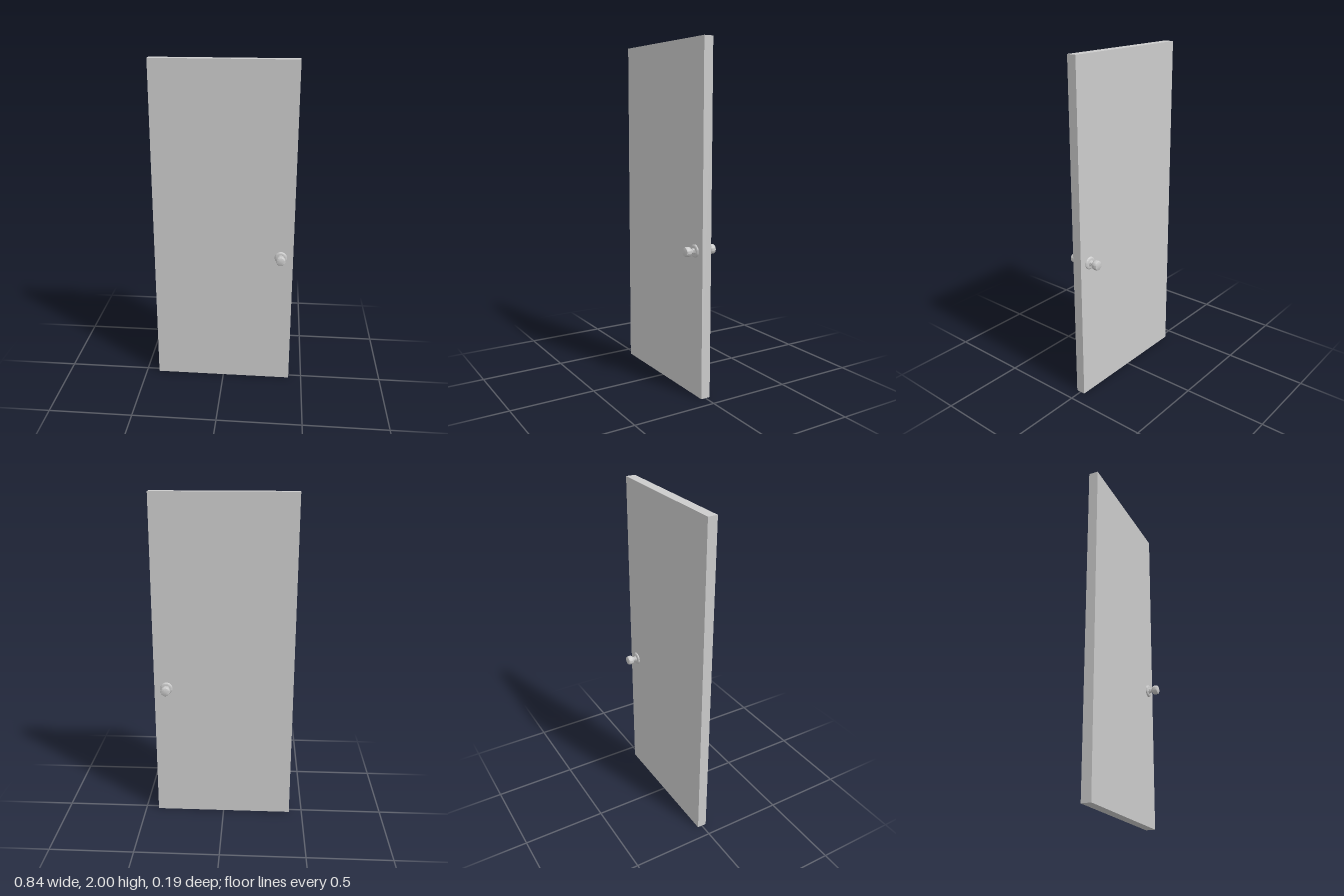
import * as THREE from 'three';
import { toCreasedNormals } from 'three/addons/utils/BufferGeometryUtils.js';

const WIDTH = 0.84, HEIGHT = 2, THICKNESS = 0.057;
const KNOB_X = 0.346, KNOB_Y = 0.842;

const material = new THREE.MeshStandardMaterial({ color: 0xcccccc });

// Turned part from [radius, distance from door face] pairs, axis along +z
function turned(name, profile) {
  const points = profile.map(([r, d]) => new THREE.Vector2(r, d));
  const geometry = new THREE.LatheGeometry(points, 32).rotateX(Math.PI / 2);
  const mesh = new THREE.Mesh(toCreasedNormals(geometry, 0.6), material);
  mesh.name = name;
  return mesh;
}

function createKnob(name) {
  const knob = new THREE.Group();
  knob.name = name;
  knob.add(
    // Round plate against the door
    turned('rosette', [
      [0.037, -0.002], [0.037, 0.004], [0.035, 0.007],
      [0.031, 0.009], [0.024, 0.010], [0, 0.010],
    ]),
    // Stepped stem
    turned('neck', [
      [0.019, 0.009], [0.018, 0.012], [0.015, 0.013],
      [0.015, 0.020], [0.013, 0.022], [0.013, 0.030], [0.016, 0.036],
    ]),
    // Handle
    turned('handle', [
      [0, 0.034], [0.019, 0.034], [0.024, 0.036], [0.027, 0.040],
      [0.028, 0.046], [0.028, 0.057], [0.027, 0.063],
      [0.025, 0.067], [0.023, 0.068], [0, 0.068],
    ]),
  );
  return knob;
}

export function createModel() {
  const model = new THREE.Group();
  model.name = 'door';

  // Door leaf
  const leaf = new THREE.Mesh(new THREE.BoxGeometry(WIDTH, HEIGHT, THICKNESS), material);
  leaf.name = 'doorLeaf';
  leaf.position.y = HEIGHT / 2;
  model.add(leaf);

  // Matching knobs on both faces
  for (const side of [1, -1]) {
    const knob = createKnob(side > 0 ? 'frontKnob' : 'backKnob');
    knob.position.set(KNOB_X, KNOB_Y, side * THICKNESS / 2);
    if (side < 0) knob.rotation.y = Math.PI;
    model.add(knob);
  }
  return model;
}
